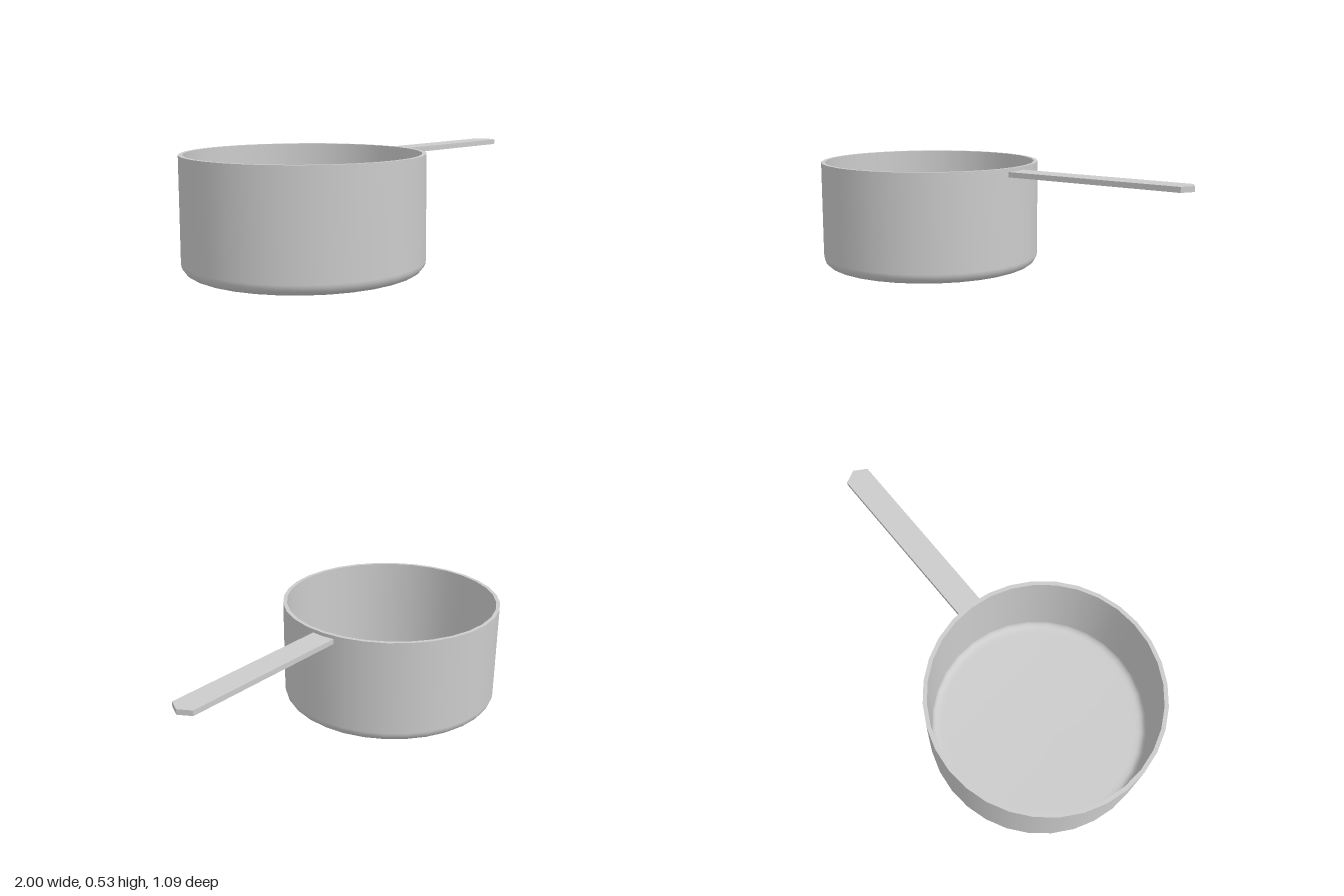
import * as THREE from 'three';

export function createModel() {
  const model = new THREE.Group();
  const material = new THREE.MeshStandardMaterial({ color: 0xcccccc });
  const potX = -0.455, top = 0.533, outerR = 0.545, innerR = 0.526;

  const add = (name, geometry, parent) => {
    const mesh = new THREE.Mesh(geometry, material);
    mesh.name = name;
    parent.add(mesh);
    return mesh;
  };

  // Profile from the slightly bulged base, round the corner and up the wall
  const wallProfile = (r, baseY, corner) => {
    const points = [[0, 0], [r * 0.3, 0.001], [r * 0.6, 0.004], [r - corner * 1.5, 0.008]]
      .map(([x, y]) => new THREE.Vector2(x, baseY + y));
    for (let i = 0; i <= 6; i++) {
      const a = (i / 6) * Math.PI / 2;
      points.push(new THREE.Vector2(
        r - corner + corner * Math.sin(a),
        baseY + 0.01 + corner * (1 - Math.cos(a))));
    }
    points.push(new THREE.Vector2(r, top));
    return points;
  };

  // Pot body: separate surfaces keep the rim edges crisp
  const pot = new THREE.Group();
  pot.name = 'pot';
  pot.position.x = potX;
  model.add(pot);
  const lathe = (points) => new THREE.LatheGeometry(points, 32);
  add('outerWall', lathe(wallProfile(outerR, 0, 0.052)), pot);
  add('rim', lathe([new THREE.Vector2(outerR, top), new THREE.Vector2(innerR, top)]), pot);
  add('innerWall', lathe(wallProfile(innerR, 0.019, 0.036).reverse()), pot);

  // Flat bar handle with a pointed tip
  const half = 0.061, start = 0.078, thickness = 0.025;
  const outline = new THREE.Shape([
    [start, -half], [0.966, -half], [1, 0], [0.966, half], [start, half],
  ].map(([x, y]) => new THREE.Vector2(x, y)));
  const bar = new THREE.ExtrudeGeometry(outline, { depth: thickness, bevelEnabled: false });
  bar.rotateX(-Math.PI / 2);
  add('handle', bar, model).position.y = 0.491;

  return model;
}
